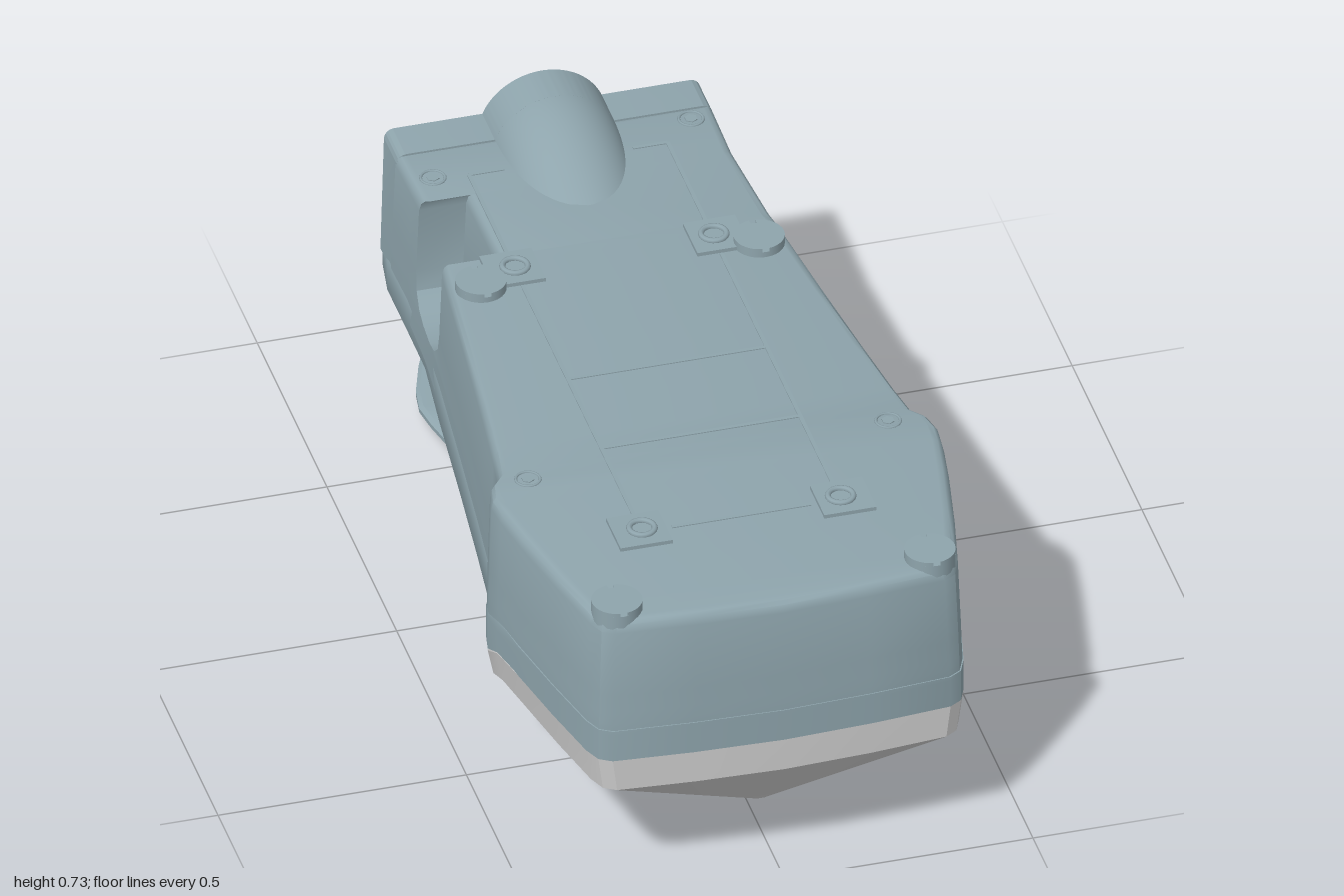
import * as THREE from 'three';
import { toCreasedNormals } from 'three/addons/utils/BufferGeometryUtils.js';
import { ParametricGeometry } from 'three/addons/geometries/ParametricGeometry.js';

// Ring: half outline [x, z] from front to back, then mirrored back to the front; place(x, z, side, index) -> [x, y, z]
const ring = (half, place) => [
  ...half.map(([x, z], i) => place(x, z, 1, i)),
  ...half.map(([x, z], i) => place(x, z, -1, i)).reverse(),
];

// Joins rings from bottom to top and closes both ends with strips across the middle
function loft(rings, crease = 0.6) {
  const pos = [], n = rings[0].length;
  const tri = (...p) => {
    const [a, b, c] = p.map((q) => new THREE.Vector3(...q));
    if (b.sub(a).cross(c.sub(a)).length() > 1e-9) p.forEach((q) => pos.push(...q));
  };
  const quad = (a, b, c, d) => { tri(a, b, c); tri(a, c, d); };
  for (let r = 0; r + 1 < rings.length; r++)
    for (let i = 0; i < n; i++) {
      const j = (i + 1) % n, lo = rings[r], hi = rings[r + 1];
      quad(lo[i], lo[j], hi[j], hi[i]);
    }
  const lo = rings[0], hi = rings[rings.length - 1];
  for (let i = 0; i + 1 < n / 2; i++) {
    quad(hi[i], hi[i + 1], hi[n - 2 - i], hi[n - 1 - i]);
    quad(lo[n - 1 - i], lo[n - 2 - i], lo[i + 1], lo[i]);
  }
  const g = new THREE.BufferGeometry();
  g.setAttribute('position', new THREE.Float32BufferAttribute(pos, 3));
  return toCreasedNormals(g, crease);
}

const mix = THREE.MathUtils.lerp;
const step = (z, a, b) => THREE.MathUtils.smoothstep(z, a, b);

export function createModel() {
  const model = new THREE.Group();
  const blue = new THREE.MeshStandardMaterial({ color: 0x8ea4ac, side: THREE.DoubleSide });
  const grey = new THREE.MeshStandardMaterial({ color: 0xcccccc, side: THREE.DoubleSide });
  const add = (name, geo, mat = blue, x = 0, y = 0, z = 0, parent = model) => {
    const m = new THREE.Mesh(geo, mat);
    m.name = name;
    m.position.set(x, y, z);
    parent.add(m);
    return m;
  };
  const box = (name, w, h, d, x, y, z, parent) => add(name, new THREE.BoxGeometry(w, h, d), blue, x, y, z, parent);

  // Plan outline shared by the housing parts
  const nose = [[0, 1], [0.18, 0.993], [0.34, 0.98], [0.365, 0.965], [0.38, 0.93], [0.41, 0.8], [0.44, 0.65],
    [0.455, 0.56], [0.46, 0.51], [0.452, 0.47], [0.428, 0.44], [0.415, 0.36], [0.405, 0.28], [0.395, 0.2],
    [0.372, 0], [0.345, -0.25]];
  const inset = (x, z, s, d) => [s * Math.max(0, x - d), z * (1 - d)];

  // Upper housing, with a U-shaped notch in the right side
  const upper = [...nose, [0.34, -0.28], [0.34, -0.28], [0.325, -0.5], [0.325, -0.5], [0.326, -0.55], [0.328, -0.66], [0, -0.66]];
  const k = nose.length;
  const levels = [ // y, inset, half length of notch, notch open
    [0.335, 0.001, 0.03, 0], [0.405, 0.002, 0.03, 0], [0.405, 0.002, 0.03, 1], [0.415, 0.002, 0.07, 1],
    [0.44, 0.003, 0.1, 1], [0.48, 0.004, 0.11, 1], [0.625, 0.009, 0.11, 1], [0.641, 0.013, 0.11, 1],
    [0.648, 0.02, 0.11, 1], [0.65, 0.03, 0.11, 1]];
  add('upperHousing', loft(levels.map(([y, d, hz, open]) => ring(upper, (x, z, s, i) => {
    if (i >= k && i < k + 4) {
      z = -0.39 + (i < k + 2 ? hz : -hz);
      x = mix(0.34, 0.325, (-0.28 - z) / 0.22);
      if (s < 0 && open && (i === k + 1 || i === k + 2)) x = 0.23;
    }
    const [px, pz] = inset(x, z, s, d);
    return [px, y, pz];
  }))));

  // Lower housing with the rear flange
  const lower = [...nose, [0.325, -0.42], [0.326, -0.55], [0.328, -0.68], [0.315, -0.76], [0.285, -0.86], [0.258, -0.93],
    [0.235, -0.97], [0.205, -0.992], [0.17, -1], [0, -1]];
  const bottom = (z) => mix(0.22, 0.33, step(z, 0.36, 0.6)) + 0.05 * step(-z, 0.7, 1);
  const waist = (z) => Math.max(bottom(z) + 0.002, 0.3 + 0.02 * step(-z, 0.2, 1));
  const hull = (d, yOf) => ring(lower, (x, z, s) => {
    const [px, pz] = inset(x, z, s, d * (z > 0 ? 1 - step(z, 0.4, 0.6) : 1));
    return [px, yOf(z), pz];
  });
  add('lowerHousing', loft([
    hull(0.075, bottom), hull(0.045, (z) => mix(bottom(z), waist(z), 0.2)), hull(0.012, (z) => mix(bottom(z), waist(z), 0.75)),
    hull(0, waist), hull(0, () => 0.375), hull(0.008, () => 0.391), hull(0.025, () => 0.4),
  ]));

  // Grey keeled shell under the nose
  const shell = [...nose.slice(0, 9), [0.452, 0.48], [0.425, 0.44], [0.395, 0.4], [0.37, 0.36], [0.35, 0.28],
    [0.335, 0.2], [0.305, 0.05], [0.275, -0.1], [0.25, -0.2], [0.225, -0.24], [0.19, -0.25], [0, -0.25]];
  const rim = (z) => mix(0.185, 0.26, step(z, 0.34, 0.6));
  const keel = (z) => 0.075 + 0.11 * ((0.83 - z) / 1.08) ** 1.7;
  add('keelShell', loft([
    ring(shell, (x, z, s) => { const kz = Math.min(z, 0.83); return [s * x * 0.02, keel(kz), kz]; }),
    ring(shell, (x, z, s) => [s * x * 0.975, rim(z), z]),
    ring(shell, (x, z, s) => [s * x, bottom(z) - (z > 0.4 ? 0 : 0.002), z]),
  ], 0.4), grey);

  // Rear wall with lens opening and two side openings
  const wall = new THREE.Shape();
  wall.moveTo(-0.325, 0.37).lineTo(0.325, 0.37).lineTo(0.318, 0.63).quadraticCurveTo(0.315, 0.65, 0.295, 0.65).lineTo(0.12, 0.65);
  wall.absarc(0, 0.6, 0.13, 0.395, Math.PI - 0.395, false);
  wall.lineTo(-0.295, 0.65).quadraticCurveTo(-0.315, 0.65, -0.318, 0.63);
  const hole = (x, y, rx, ry) => wall.holes.push(new THREE.Path().absellipse(x, y, rx, ry, 0, Math.PI * 2, true));
  hole(0, 0.64, 0.065, 0.065);
  for (const s of [-1, 1]) hole(s * 0.215, 0.53, 0.045, 0.08);
  add('rearWall', toCreasedNormals(new THREE.ExtrudeGeometry(wall, { depth: 0.09, bevelEnabled: false, curveSegments: 24 }), 0.6), blue, 0, 0, -0.74);

  // Rear socket panel
  const panel = new THREE.Group();
  panel.name = 'socketPanel';
  model.add(panel);
  box('panelBase', 0.31, 0.15, 0.01, 0, 0.495, -0.741, panel);
  box('panelPlate', 0.15, 0.11, 0.016, 0, 0.535, -0.748, panel);
  box('panelClip', 0.06, 0.06, 0.02, 0, 0.43, -0.745, panel);
  for (const s of [-1, 1]) {
    add('socketRing', new THREE.TorusGeometry(0.02, 0.004, 8, 20), blue, s * 0.032, 0.535, -0.756, panel);
    box('panelLatch', 0.025, 0.06, 0.008, s * 0.12, 0.53, -0.747, panel);
  }

  // Domed hump that fades into the top
  add('hump', new ParametricGeometry((u, v, p) => {
    const r = 0.13, h = 0.0001 + 0.08 * Math.sin(v * Math.PI / 2), a = (2 * u - 1) * Math.acos((r - h) / r);
    p.set(r * Math.sin(a), 0.65 + h - r + r * Math.cos(a), -0.39 - 0.27 * v);
  }, 24, 20));

  // Grip stem, flared where it meets the housing
  const stem = [[0, -0.55], [0.13, -0.55], [0.16, -0.562], [0.178, -0.59], [0.183, -0.65], [0.183, -0.81],
    [0.178, -0.87], [0.16, -0.898], [0.13, -0.91], [0, -0.91]];
  add('gripStem', loft([[0.02, 1], [0.21, 1], [0.235, 1.04], [0.26, 1.12]].map(([y, f]) =>
    ring(stem, (x, z, s) => [s * x * f, y + (y < 0.1 ? (-0.41 - z) * 0.1 : 0), -0.73 + (z + 0.73) * f]))));

  // Tilted foot plate
  const foot = [[0, -0.41], [0.17, -0.412], [0.2, -0.425], [0.222, -0.46], [0.262, -0.6], [0.272, -0.65], [0.265, -0.7],
    [0.24, -0.77], [0.18, -0.9], [0.155, -0.94], [0.12, -0.962], [0, -0.975]];
  add('footPlate', loft([[0, 0.97], [0.005, 1], [0.014, 1], [0.02, 0.97]].map(([y, f]) =>
    ring(foot, (x, z, s) => [s * x * f, y + (-0.41 - z) * 0.107, -0.69 + (z + 0.69) * f]))));

  // Slotted feet on the top
  for (const [x, z] of [[0.315, 0.92], [0.28, -0.18]]) for (const s of [-1, 1]) {
    const screw = new THREE.Group();
    screw.name = 'slottedFoot';
    screw.position.set(s * x, 0.64, z);
    model.add(screw);
    add('footCollar', new THREE.CylinderGeometry(0.05, 0.05, 0.044, 28), blue, 0, 0, 0, screw);
    for (const t of [-1, 1]) {
      const half = new THREE.CylinderGeometry(0.05, 0.05, 0.008, 16, 1, false, t > 0 ? 0.14 : Math.PI + 0.14, Math.PI - 0.28);
      add('footHead', half, blue, 0, 0.026, 0, screw);
    }
  }

  // Square pads with a raised ring
  for (const z of [0.69, -0.22]) for (const s of [-1, 1]) {
    box('contactPad', 0.105, 0.012, 0.105, s * 0.205, 0.652, z);
    add('padRing', new THREE.TorusGeometry(0.025, 0.006, 8, 20).rotateX(Math.PI / 2), blue, s * 0.2, 0.66, z);
  }

  // Fine lines linking the pads
  for (const s of [-1, 1]) {
    box('sideLine', 0.008, 0.004, 0.8, s * 0.2, 0.65, 0.235);
    box('rearSideLine', 0.008, 0.004, 0.28, s * 0.2, 0.65, -0.41);
    box('rearLine', 0.07, 0.004, 0.008, s * 0.165, 0.65, -0.55);
  }
  for (const z of [0.69, 0.4, 0.16]) box('crossLine', z > 0.6 ? 0.28 : 0.4, 0.004, 0.008, 0, 0.65, z);

  // Small case screws
  for (const [x, y, z] of [[-0.365, 0.65, 0.46], [0.36, 0.65, 0.46], [-0.27, 0.65, -0.56], [0.265, 0.65, -0.615], [0, 0.4, -0.94]]) {
    add('caseScrewRim', new THREE.TorusGeometry(0.024, 0.003, 6, 20).rotateX(Math.PI / 2), blue, x, y, z);
    add('caseScrewHead', new THREE.CylinderGeometry(0.013, 0.013, 0.004, 6), blue, x, y, z);
  }
  return model;
}
